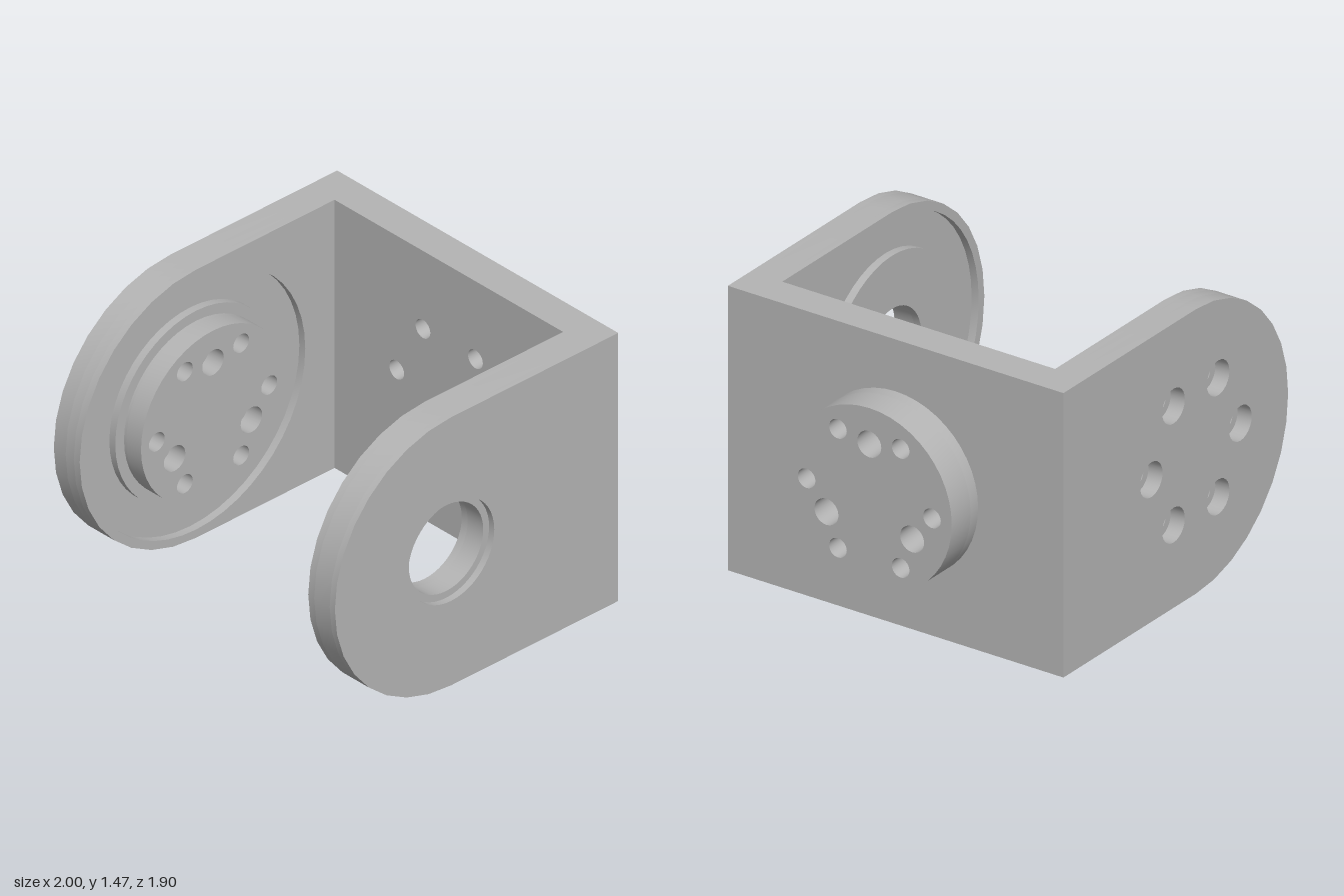
import * as THREE from 'three';
import { toCreasedNormals } from 'three/addons/utils/BufferGeometryUtils.js';

const CX = -0.265, CY = 0.735;          // pivot axis of the arms
const ARM_R = 0.735, WALL_IN = 0.61, WALL_OUT = 0.79;
const BOLT_R = 0.355, PIN_R = 0.28;     // hole circle radii

// Points around a full circle
function ring(cx, cy, r, n) {
  const pts = [];
  for (let i = 0; i < n; i++) {
    const a = (i / n) * Math.PI * 2;
    pts.push(new THREE.Vector2(cx + r * Math.cos(a), cy + r * Math.sin(a)));
  }
  return pts;
}

// Arm outline: square at the wall, half round at the free end
function armOutline() {
  const pts = [new THREE.Vector2(WALL_OUT, 0), new THREE.Vector2(WALL_OUT, 2 * CY)];
  for (let i = 0; i <= 16; i++) {
    const a = Math.PI / 2 + (i / 16) * Math.PI;
    pts.push(new THREE.Vector2(CX + ARM_R * Math.cos(a), CY + ARM_R * Math.sin(a)));
  }
  return pts;
}

// Evenly spaced small holes on a circle
function holeCircle(cx, cy, circleR, count, start, r) {
  return Array.from({ length: count }, (_, i) => {
    const a = start + (i / count) * Math.PI * 2;
    return ring(cx + circleR * Math.cos(a), cy + circleR * Math.sin(a), r, 24);
  });
}
const bolts = (cx, r) => holeCircle(cx, CY, BOLT_R, 6, 0, r);
const pins = (cx) => holeCircle(cx, CY, PIN_R, 3, Math.PI / 2, 0.068);

export function createModel() {
  const model = new THREE.Group();
  model.name = 'pivotBracket';
  const metal = new THREE.MeshStandardMaterial({ color: 0xb4b4b4 });
  metal.name = 'grey metal';

  // One slab of an outline with holes, from z0 to z1
  function slab(parent, name, outline, holes, z0, z1) {
    const shape = new THREE.Shape(outline);
    shape.holes = holes.map((pts) => new THREE.Path(pts));
    const geo = new THREE.ExtrudeGeometry(shape, { depth: z1 - z0, bevelEnabled: false });
    geo.translate(0, 0, z0);
    const mesh = new THREE.Mesh(toCreasedNormals(geo, 0.5), metal);
    mesh.name = name;
    parent.add(mesh);
  }
  function part(name) {
    const g = new THREE.Group();
    g.name = name;
    model.add(g);
    return g;
  }
  const disc = (r, n = 48) => ring(CX, CY, r, n);

  // Front arm: stepped centre hole and a round groove on the inner face
  const front = part('frontArm');
  slab(front, 'frontArmRim', armOutline(), [disc(0.69)], 0.77, 0.81);
  slab(front, 'frontArmBoss', disc(0.51), [disc(0.235)], 0.77, 0.81);
  slab(front, 'frontArmPlate', armOutline(), [disc(0.235)], 0.81, 0.915);
  slab(front, 'frontArmFace', armOutline(), [disc(0.272)], 0.915, 0.95);

  // Back arm: counterbored bolt holes outside, groove and hub inside
  const back = part('backArm');
  slab(back, 'backArmFace', armOutline(), bolts(CX, 0.09), -0.95, -0.87);
  slab(back, 'backArmPlate', armOutline(), bolts(CX, 0.05), -0.87, -0.815);
  slab(back, 'backArmRim', armOutline(), [disc(0.69)], -0.815, -0.775);
  slab(back, 'backArmBoss', disc(0.51), bolts(CX, 0.05), -0.815, -0.775);
  slab(back, 'hubBase', disc(0.455), bolts(CX, 0.05), -0.775, -0.76);
  slab(back, 'hubFace', disc(0.455), [...bolts(CX, 0.05), ...pins(CX)], -0.76, -0.66);

  // Wall and flange, extruded along z and turned to run along x
  const side = part('wallAndFlange');
  side.rotation.y = Math.PI / 2;
  const wall = [[-0.77, 0], [0.775, 0], [0.775, 2 * CY], [-0.77, 2 * CY]]
    .map(([x, y]) => new THREE.Vector2(x, y));
  slab(side, 'wall', wall, bolts(0, 0.05), WALL_IN, WALL_OUT);
  slab(side, 'flangeBase', ring(0, CY, 0.467, 48), bolts(0, 0.05), WALL_OUT, 0.85);
  slab(side, 'flangeFace', ring(0, CY, 0.467, 48), [...bolts(0, 0.05), ...pins(0)], 0.85, 1);

  return model;
}
